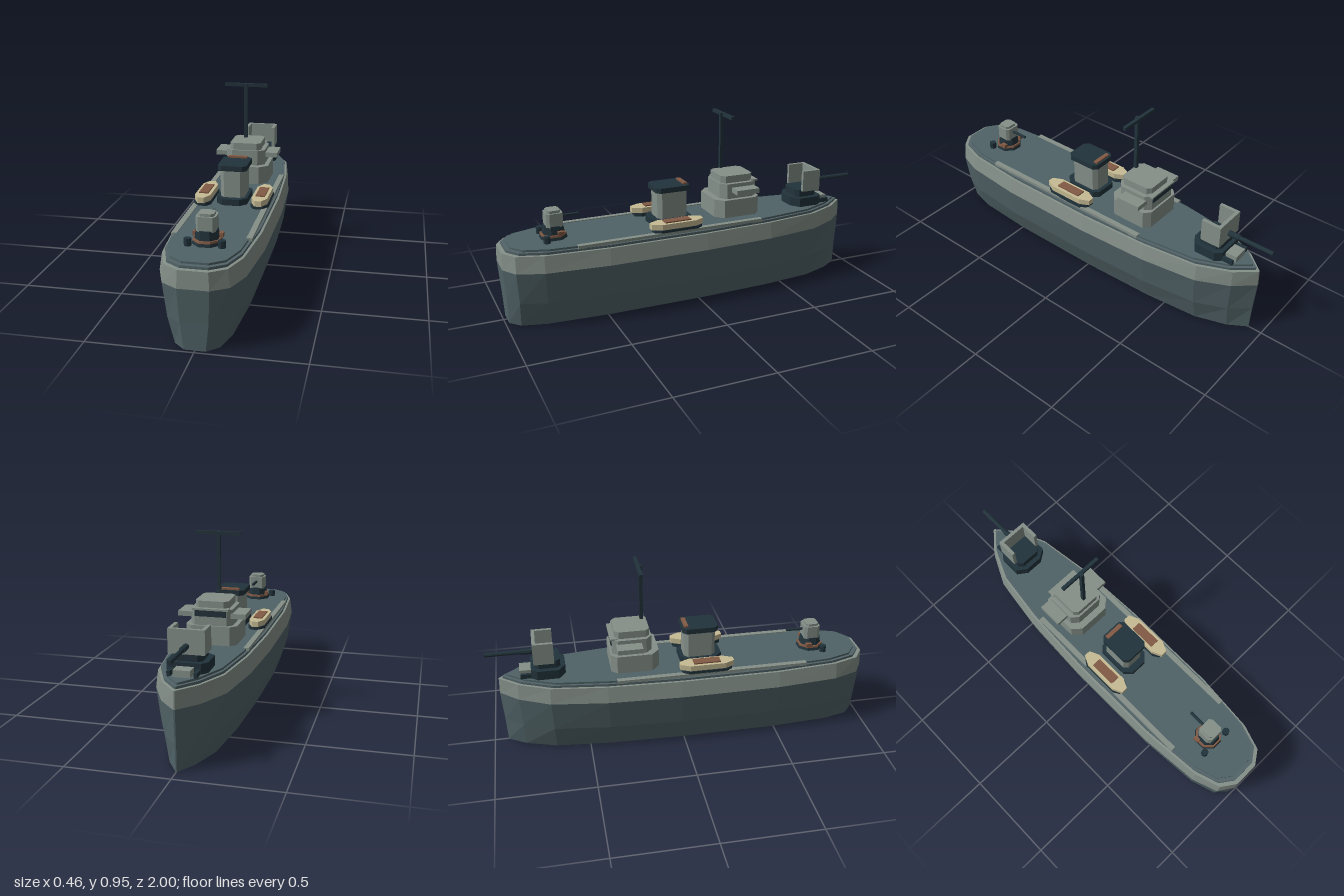
import * as THREE from 'three';

const mat = (name, color, side = THREE.FrontSide) => {
  const m = new THREE.MeshStandardMaterial({ color, side, flatShading: true });
  m.name = name;
  return m;
};

// half outline of the hull at its widest level, bow to stern: [x, z]
const HALF = [[0.004, -0.945], [0.09, -0.85], [0.168, -0.69], [0.21, -0.4], [0.228, -0.02],
  [0.226, 0.5], [0.197, 0.82], [0.15, 0.95], [0.072, 1.0]];

// closed outline scaled in x and z
function outline(sx, sz) {
  const right = HALF.map(([x, z]) => [x * sx, z * sz]);
  return [...right, ...right.map(([x, z]) => [-x, z]).reverse()];
}

// wall between stacked outlines, levels are [y, xScale, zScale]
function loft(levels) {
  const rings = levels.map(([y, sx, sz]) => outline(sx, sz).map(([x, z]) => [x, y, z]));
  const pos = [];
  for (let r = 0; r < rings.length - 1; r++) {
    const lo = rings[r], hi = rings[r + 1], n = lo.length;
    for (let i = 0; i < n; i++) {
      const j = (i + 1) % n;
      pos.push(...lo[i], ...hi[i], ...lo[j], ...lo[j], ...hi[i], ...hi[j]);
    }
  }
  const g = new THREE.BufferGeometry();
  g.setAttribute('position', new THREE.Float32BufferAttribute(pos, 3));
  g.computeVertexNormals();
  return g;
}

// vertical prism from plan points [x, z]
function prism(pts, y0, y1) {
  const s = new THREE.Shape(pts.map(([x, z]) => new THREE.Vector2(x, -z)));
  return new THREE.ExtrudeGeometry(s, { depth: y1 - y0, bevelEnabled: false })
    .rotateX(-Math.PI / 2).translate(0, y0, 0);
}

// block with cut corners, centred on x = 0; front and back cuts given as [dx, dz]
function block(hx, z0, z1, y0, y1, bowCut = [0.02, 0.02], sternCut = bowCut) {
  const [a, b] = bowCut, [c, d] = sternCut;
  return prism([[hx - a, z0], [hx, z0 + b], [hx, z1 - d], [hx - c, z1],
    [-hx + c, z1], [-hx, z1 - d], [-hx, z0 + b], [-hx + a, z0]], y0, y1);
}

const box = (x0, x1, y0, y1, z0, z1) => new THREE.BoxGeometry(x1 - x0, y1 - y0, z1 - z0)
  .translate((x0 + x1) / 2, (y0 + y1) / 2, (z0 + z1) / 2);

export function createModel() {
  const hullGrey = mat('hull slate', 0x526468, THREE.DoubleSide);
  const light = mat('light grey', 0x859089, THREE.DoubleSide);
  const deckGrey = mat('deck teal grey', 0x4f6367);
  const dark = mat('dark navy', 0x22333b);
  const cream = mat('cream', 0xc6bb94);
  const brown = mat('brown', 0x825a44);

  const ship = new THREE.Group();
  ship.name = 'warship';
  const add = (parent, name, geo, material) => {
    const m = new THREE.Mesh(geo, material);
    m.name = name;
    parent.add(m);
    return m;
  };
  const group = (name) => {
    const g = new THREE.Group();
    g.name = name;
    ship.add(g);
    return g;
  };

  // hull, open underneath
  const hull = group('hull');
  add(hull, 'lowerHull', loft([[0, 0.68, 0.982], [0.13, 0.885, 0.988], [0.295, 1, 1]]), hullGrey);
  add(hull, 'upperHullBand', loft([[0.295, 1, 1], [0.38, 0.935, 0.998], [0.381, 0.87, 0.97]]), light);
  add(hull, 'deckCurb', prism(outline(0.885, 0.977), 0.375, 0.393), hullGrey);
  add(hull, 'deck', prism(outline(0.83, 0.955), 0.385, 0.403), deckGrey);
  for (const s of [-1, 1]) {
    const inner = 0.163 * s, outer = 0.19 * s;
    add(hull, 'sideWalkway',
      box(Math.min(inner, outer), Math.max(inner, outer), 0.39, 0.407, -0.35, 0.65), light);
  }

  // bridge
  const bridge = group('bridge');
  add(bridge, 'bridgeBase', block(0.128, -0.37, -0.12, 0.415, 0.51, [0.03, 0.03], [0.045, 0.04]), light);
  add(bridge, 'bridgeMiddle', block(0.105, -0.36, -0.155, 0.51, 0.59, [0.025, 0.03], [0.035, 0.03]), light);
  add(bridge, 'bridgeRoof', block(0.083, -0.345, -0.165, 0.59, 0.628, [0.02, 0.02]), light);
  add(bridge, 'bridgeWings', box(-0.17, 0.17, 0.545, 0.57, -0.34, -0.21), light);
  add(bridge, 'bridgeWindows', box(-0.078, 0.078, 0.555, 0.585, -0.366, -0.359), dark);
  add(bridge, 'bridgeVisor', box(-0.09, 0.09, 0.586, 0.595, -0.37, -0.33), light);

  // mast
  const mast = group('mast');
  add(mast, 'mastPole', box(-0.009, 0.009, 0.655, 0.95, -0.204, -0.186), dark);
  add(mast, 'mastYard', box(-0.115, 0.115, 0.932, 0.949, -0.214, -0.197), dark);

  // funnel
  const funnel = group('funnel');
  add(funnel, 'funnelBase', block(0.078, 0.0, 0.22, 0.4, 0.435, [0.025, 0.025], [0.035, 0.035]), dark);
  add(funnel, 'funnelStack', block(0.062, 0.02, 0.185, 0.435, 0.578, [0.02, 0.02]), light);
  add(funnel, 'funnelCap', block(0.074, 0.01, 0.197, 0.576, 0.603, [0.02, 0.02]), dark);
  add(funnel, 'funnelVent', box(-0.05, 0.05, 0.6, 0.612, 0.02, 0.042), brown);

  // lifeboats on both sides
  for (const s of [-1, 1]) {
    const boat = group('lifeboat');
    boat.position.x = 0.146 * s;
    add(boat, 'boatCradle', block(0.044, -0.01, 0.25, 0.4, 0.421, [0.02, 0.03]), dark);
    add(boat, 'boatHull', block(0.04, -0.02, 0.262, 0.421, 0.45, [0.024, 0.05]), cream);
    add(boat, 'boatCover', box(-0.024, 0.024, 0.448, 0.456, 0.05, 0.19), brown);
  }

  // small gun at the stern, aimed forward
  const aft = group('aftGun');
  const ring = (r0, r1, y0, y1, z) => new THREE.CylinderGeometry(r1, r0, y1 - y0, 8)
    .rotateY(Math.PI / 8).translate(0, (y0 + y1) / 2, z);
  add(aft, 'aftGunPlate', ring(0.072, 0.068, 0.4, 0.418, 0.725), dark);
  add(aft, 'aftGunRing', ring(0.068, 0.066, 0.418, 0.428, 0.725), brown);
  add(aft, 'aftGunPedestal', ring(0.058, 0.052, 0.428, 0.47, 0.725), dark);
  add(aft, 'aftTurret', block(0.046, 0.68, 0.765, 0.465, 0.535, [0.012, 0.015]), light);
  add(aft, 'aftTurretRoof', block(0.036, 0.69, 0.757, 0.535, 0.548, [0.012, 0.012]), light);
  add(aft, 'aftBarrel', new THREE.CylinderGeometry(0.008, 0.008, 0.1, 6)
    .rotateX(Math.PI / 2).translate(0, 0.508, 0.64), dark);
  for (const s of [-1, 1]) {
    add(aft, 'aftDrum', new THREE.CylinderGeometry(0.018, 0.018, 0.035, 8)
      .translate(0.078 * s, 0.42, 0.775), dark);
    add(aft, 'aftCrate', new THREE.BoxGeometry(0.02, 0.02, 0.03)
      .translate(0.06 * s, 0.437, 0.7), brown);
  }

  // main gun at the bow with an open-backed shield
  const fore = group('foreGun');
  add(fore, 'foreGunPlate', block(0.097, -0.775, -0.6, 0.4, 0.452, [0.025, 0.03], [0.05, 0.035]), dark);
  add(fore, 'foreGunPedestal', block(0.07, -0.755, -0.625, 0.452, 0.492, [0.02, 0.02]), dark);
  add(fore, 'foreShield', prism([[-0.086, -0.76], [0.086, -0.76], [0.086, -0.655], [0.068, -0.655],
    [0.068, -0.742], [-0.068, -0.742], [-0.068, -0.655], [-0.086, -0.655]], 0.485, 0.6), light);
  add(fore, 'foreBarrel', new THREE.CylinderGeometry(0.011, 0.011, 0.25, 8)
    .rotateX(Math.PI / 2).translate(0, 0.522, -0.875), dark);
  add(fore, 'foreBarrelSleeve', new THREE.CylinderGeometry(0.015, 0.015, 0.06, 8)
    .rotateX(Math.PI / 2).translate(0, 0.522, -0.79), dark);
  add(fore, 'foreLocker', box(-0.04, 0.04, 0.4, 0.435, -0.835, -0.775), light);
  for (const s of [-1, 1]) {
    add(fore, 'foreBollard', new THREE.BoxGeometry(0.016, 0.024, 0.06)
      .translate(0.062 * s, 0.414, -0.8), dark);
  }
  return ship;
}
